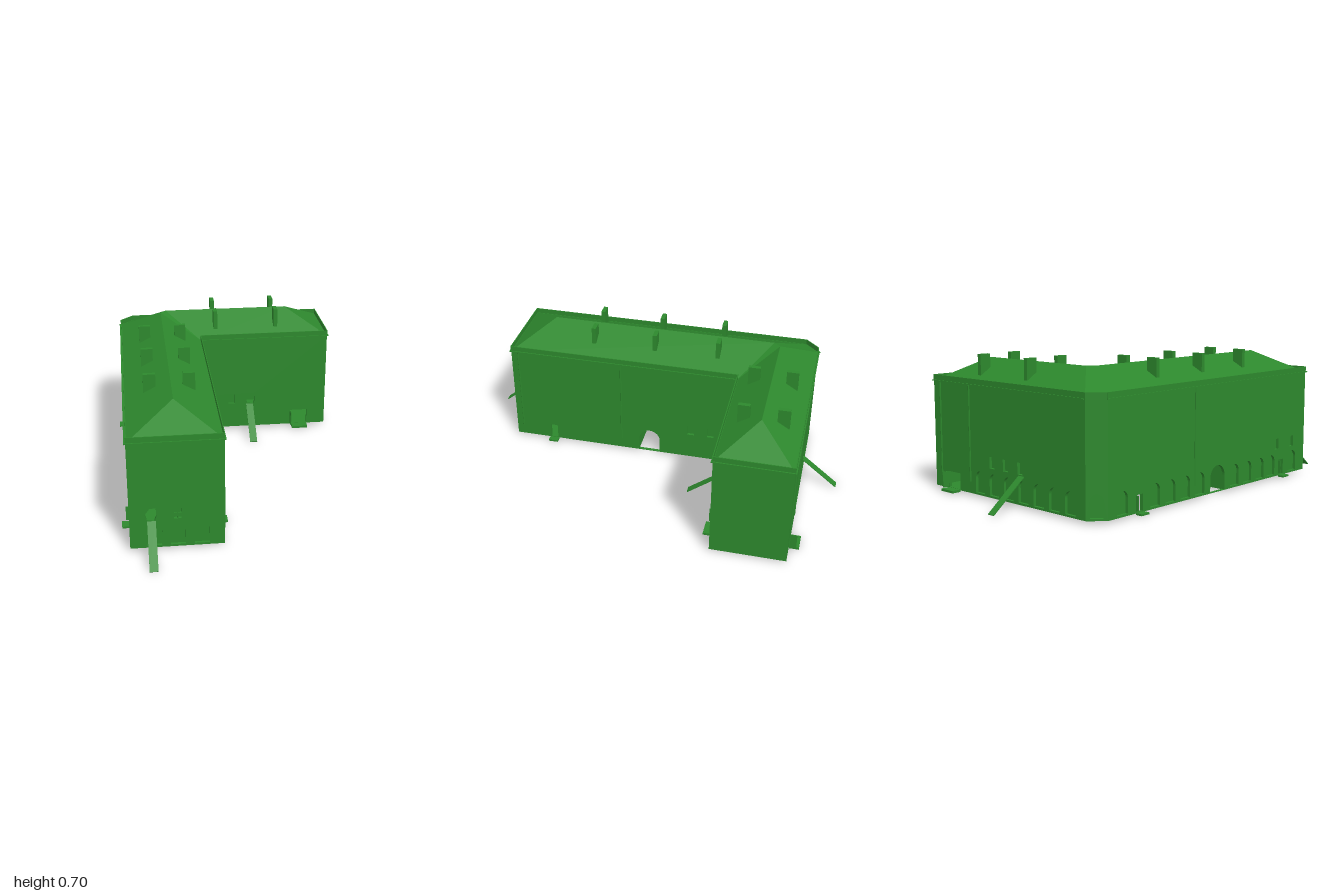
import * as THREE from 'three';

const material = new THREE.MeshStandardMaterial({ color: 0x2d882d, flatShading: true, side: THREE.DoubleSide });
const BASE = 0.015, EAVE = 0.557, THICK = 0.016, CEILING = 0.24;

// Footprint corners [x, z], walked so that outside is on the right-hand side
const CORNERS = [[-0.565, 0.813], [-0.125, 0.813], [-0.125, -0.43], [0.592, -0.43],
  [0.592, -0.812], [-0.495, -0.812], [-0.565, -0.742]];

function add(parent, name, geometry, x = 0, y = 0, z = 0) {
  const mesh = new THREE.Mesh(geometry, material);
  mesh.name = name;
  mesh.position.set(x, y, z);
  parent.add(mesh);
  return mesh;
}
const box = (parent, name, w, h, d, x, y, z) => add(parent, name, new THREE.BoxGeometry(w, h, d), x, y, z);

// Openings: at = world coordinate along the wall, solid = closed behind
const arch = (at, w = 0.07, y0 = 0.025, y1 = 0.135, solid = true) => ({ kind: 'arch', at, w, y0, y1, solid });
const rect = (at, w, y0, y1, solid = true) => ({ kind: 'rect', at, w, y0, y1, solid });
const win = (at, solid = true) => rect(at, 0.037, 0.16, 0.217, solid);
const hole = at => ({ kind: 'broken', at, w: 0.056, y0: 0.156, y1: 0.222, solid: false });
const range = (start, step, n) => Array.from({ length: n }, (_, i) => start + i * step);

function openingPath(o, u) {
  const p = new THREE.Path(), r = o.w / 2;
  if (o.kind === 'arch') {
    p.moveTo(u - r, o.y0);
    p.lineTo(u + r, o.y0);
    p.lineTo(u + r, o.y1 - r);
    p.absarc(u, o.y1 - r, r, 0, Math.PI, false);
    p.lineTo(u - r, o.y0);
  } else {
    const pts = o.kind === 'rect' ? [[-1, 0], [1, 0], [1, 1], [-1, 1]]
      : [[-0.6, 0.1], [0.7, 0], [1, 0.35], [0.95, 1], [-0.1, 0.97], [-0.9, 0.5]];
    p.setFromPoints(pts.map(([a, b]) => new THREE.Vector2(u + a * r, o.y0 + b * (o.y1 - o.y0))));
    p.closePath();
  }
  return p;
}

// One wall between two corners, with reveals and closed niches
function wall(parent, name, a, b, openings) {
  const dx = b[0] - a[0], dz = b[1] - a[1], len = Math.hypot(dx, dz);
  const g = new THREE.Group();
  g.name = name;
  g.position.set(a[0], 0, a[1]);
  g.rotation.y = Math.atan2(-dz, dx);
  parent.add(g);
  const shape = new THREE.Shape();
  shape.setFromPoints([[0, BASE], [len, BASE], [len, EAVE], [0, EAVE]].map(p => new THREE.Vector2(...p)));
  const along = Math.abs(dx) >= Math.abs(dz) ? 0 : 1;
  for (const o of openings) {
    const u = o.mid ? len / 2 : Math.abs(o.at - a[along]);
    shape.holes.push(openingPath(o, u));
    if (o.solid) box(g, 'nichePanel', o.w + 0.004, o.y1 - o.y0 + 0.004, 0.003, u, (o.y0 + o.y1) / 2, -THICK);
    if (o.bars) {
      box(g, 'windowBar', 0.005, o.y1 - o.y0, 0.006, u, (o.y0 + o.y1) / 2, -0.004);
      box(g, 'windowBar', o.w, 0.005, 0.006, u, (o.y0 + o.y1) / 2, -0.004);
    }
  }
  add(g, 'wallFace', new THREE.ExtrudeGeometry(shape, { depth: THICK, bevelEnabled: false, curveSegments: 8 }), 0, 0, -THICK);
  // cornice line and thin parapet
  box(g, 'cornice', len + 0.016, 0.005, 0.016, len / 2, EAVE, 0);
  box(g, 'parapet', len + 0.004, 0.03, 0.004, len / 2, 0.571, 0);
}

function roof(parent) {
  const y = 0.557, r = 0.675;
  const [A, B, C, D, E, F, G] = CORNERS.map(([x, z]) => [x, y, z]);
  const P = [-0.34, r, 0.615], Q = [-0.34, r, -0.585], R = [-0.31, r, -0.62], S = [0.375, r, -0.62];
  const faces = [[A, B, P], [B, C, Q, P], [C, R, Q], [C, D, S, R], [D, E, S], [E, F, R, S], [F, G, Q, R], [G, A, P, Q]];
  const pos = [];
  for (const f of faces) for (let i = 1; i < f.length - 1; i++) pos.push(...f[0], ...f[i], ...f[i + 1]);
  const geo = new THREE.BufferGeometry();
  geo.setAttribute('position', new THREE.Float32BufferAttribute(pos, 3));
  geo.computeVertexNormals();
  add(parent, 'hippedRoof', geo);
}

// Horizontal slab from an outline in x and z
function slab(parent, name, points, y) {
  const shape = new THREE.Shape(points.map(([x, z]) => new THREE.Vector2(x, -z)));
  const geo = new THREE.ShapeGeometry(shape);
  geo.rotateX(-Math.PI / 2);
  add(parent, name, geo, 0, y, 0);
}

// Sloping plank from a wall opening to the ground
function slide(parent, x, zWall, dir, run) {
  const m = box(parent, 'slide', 0.04, 0.004, Math.hypot(run, 0.15), x, 0.079, zWall + dir * run / 2);
  m.rotation.x = dir * Math.atan2(0.15, run);
}

export function createModel() {
  const model = new THREE.Group();
  model.name = 'cornerBuilding';
  const passage = () => arch(0.04, 0.115, 0.018, 0.15, false);
  const smallDoor = z => rect(z, 0.04, 0.02, 0.1, false);
  const wideDoor = () => rect(0.442, 0.094, 0.02, 0.102, false);

  // Outer walls
  const openings = [
    ['frontWall', [arch(-0.45), arch(-0.342), arch(-0.23), { ...rect(-0.342, 0.034, 0.163, 0.217), bars: true }, hole(-0.468)]],
    ['courtyardSideWall', [passage(), smallDoor(0.595), win(-0.19), win(-0.3)]],
    ['courtyardBackWall', [win(-0.058, false), win(0.048), hole(0.155), wideDoor()]],
    ['eastEndWall', []],
    ['backWall', [...range(-0.4, 0.106, 7).map(x => arch(x)), win(0.145), win(0.045), win(-0.06, false), wideDoor()]],
    ['chamferWall', [{ ...arch(0, 0.06), mid: true }]],
    ['westWall', [passage(), smallDoor(0.595), smallDoor(-0.535), ...[-0.65, -0.43, -0.32, -0.21, -0.1, 0.18, 0.29, 0.4, 0.5, 0.7].map(z => arch(z)),
      win(0.55), win(0.69)]],
  ];
  openings.forEach(([name, list], i) => wall(model, name, CORNERS[i], CORNERS[(i + 1) % CORNERS.length], list));
  roof(model);

  // Chimneys in pairs either side of the ridges
  for (const z of [-0.305, 0.035, 0.37])
    for (const x of [-0.44, -0.25]) box(model, 'chimney', 0.06, 0.105, 0.022, x, 0.648, z);
  for (const x of [-0.037, 0.305])
    for (const z of [-0.718, -0.525]) box(model, 'chimney', 0.022, 0.105, 0.06, x, 0.648, z);

  // Ground floors, vaulted-room ceiling and partitions
  slab(model, 'frontFloor', [[-0.565, 0.813], [-0.125, 0.813], [-0.125, 0.355], [-0.565, 0.355]], BASE);
  slab(model, 'eastFloor', [[-0.125, -0.43], [0.592, -0.43], [0.592, -0.812], [0.1, -0.812], [0.1, -0.6], [-0.125, -0.6]], BASE);
  slab(model, 'groundCeiling', CORNERS, CEILING);
  const h = CEILING - BASE, mid = (CEILING + BASE) / 2;
  for (const z of [-0.022, 0.102, 0.355]) box(model, 'partition', 0.43, h, 0.004, -0.345, mid, z);

  // Door steps and open door leaves
  for (const [x, z] of [[-0.583, 0.595], [-0.583, -0.535], [-0.107, 0.595]])
    box(model, 'doorStep', 0.034, 0.009, 0.052, x, 0.013, z);
  for (const z of [-0.837, -0.405]) box(model, 'wideDoorStep', 0.09, 0.012, 0.05, 0.442, 0.013, z);
  for (const z of [0.572, -0.558]) box(model, 'openDoor', 0.016, 0.072, 0.004, -0.572, 0.062, z);
  for (const [z, d] of [[-0.83, 1], [-0.412, -1]])
    box(model, 'openDoor', 0.004, 0.08, 0.036, 0.442 + d * 0.05, 0.061, z);

  // Slides out of the broken openings
  slide(model, -0.463, 0.812, 1, 0.186);
  slide(model, 0.152, -0.43, 1, 0.195);
  slide(model, -0.07, -0.812, -1, 0.186);

  // Drainpipes
  for (const [x, z] of [[-0.123, 0.775], [-0.123, -0.426], [-0.123, 0.2], [0.54, -0.814], [0.31, -0.814], [-0.567, -0.14]])
    add(model, 'drainpipe', new THREE.CylinderGeometry(0.004, 0.004, 0.48, 6), x, 0.315, z);
  return model;
}
